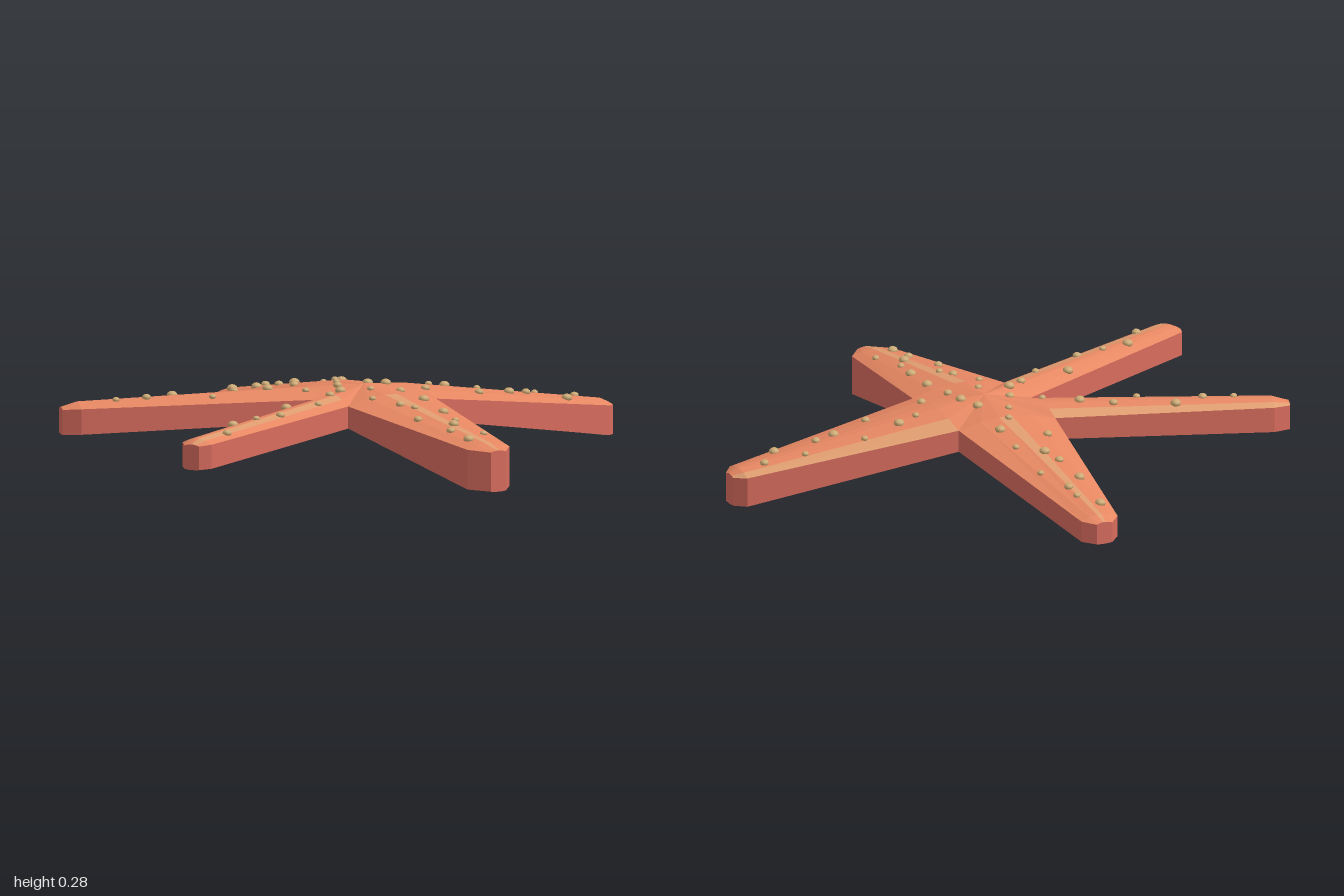
import * as THREE from 'three';

// Root corners between the arms, clockwise seen from above [x, z]
const corners = [[-0.16, -0.19], [0.2, -0.16], [0.2, 0.21], [-0.16, 0.22], [-0.16, 0.03]];

// Per arm: tip centre, shoulder half width, shoulder setback, wall bottom and top at the tip,
// bump count, and which top strip is tan
const arms = [
  { name: 'backArm', tip: [0.02, -0.957], half: 0.07, back: 0.04, low: 0.042, high: 0.12, bumps: 11, tan: 2 },
  { name: 'leftArm', tip: [1, 0.025], half: 0.07, back: 0.035, low: 0.027, high: 0.135, bumps: 10, tan: 0 },
  { name: 'frontArm', tip: [0.025, 0.953], half: 0.085, back: 0.07, low: 0.012, high: 0.155, bumps: 11, tan: 2 },
  { name: 'rightFrontArm', tip: [-0.985, 0.561], half: 0.06, back: 0.035, low: 0.112, high: 0.2, bumps: 7, tan: 1 },
  { name: 'rightBackArm', tip: [-0.99, -0.35], half: 0.062, back: 0.06, low: 0.122, high: 0.215, bumps: 7, tan: 4 },
];

// Cross-section: position across the arm and share of the crown height
const across = [0, 0.22, 0.45, 0.58, 0.78, 1];
const crown = [0, 0.65, 1, 1, 0.65, 0];
const last = across.length - 1;
const centreTop = [0.01, 0.275, 0.03];
const centreLow = [0.01, 0.15, 0.03];

function material(name, color) {
  const m = new THREE.MeshStandardMaterial({ color });
  m.name = name;
  return m;
}

const mix = (a, b, t) => [a[0] + (b[0] - a[0]) * t, a[1] + (b[1] - a[1]) * t];

// One row of points from edge to edge, bulged by the given height
function row([a, b], y, bulge) {
  return across.map((u, i) => {
    const [x, z] = mix(a, b, u);
    return [x, y + bulge * crown[i], z];
  });
}

// Unshared corners give each face its own flat normal
function facesMesh(name, points, mat) {
  const g = new THREE.BufferGeometry();
  g.setAttribute('position', new THREE.Float32BufferAttribute(points.flat(), 3));
  g.computeVertexNormals();
  const mesh = new THREE.Mesh(g, mat);
  mesh.name = name;
  return mesh;
}

const quad = (list, a, b, c, d) => list.push(a, b, c, a, c, d);

export function createModel() {
  const coral = material('coral skin', 0xe68762);
  const red = material('red side', 0xd86c5e);
  const sand = material('sandy underside', 0xd8c19f);
  const stripeTan = material('tan stripe', 0xdf9d70);
  const bumpTan = material('tan bump', 0xcdaa74);

  const model = new THREE.Group();
  model.name = 'starfish';
  const skins = [];
  const spots = [];

  arms.forEach((arm, k) => {
    const group = new THREE.Group();
    group.name = arm.name;

    // Edge pairs at the root, the shoulder and the narrow end
    const root = [corners[k], corners[(k + 1) % 5]];
    const mid = mix(root[0], root[1], 0.5);
    const length = Math.hypot(arm.tip[0] - mid[0], arm.tip[1] - mid[1]);
    const [dx, dz] = [(arm.tip[0] - mid[0]) / length, (arm.tip[1] - mid[1]) / length];
    const edges = (setback, half) => [1, -1].map((s) => [
      arm.tip[0] - dx * setback + s * dz * half, arm.tip[1] - dz * setback - s * dx * half]);
    const shoulder = edges(arm.back, arm.half);
    const end = edges(0, 0.03);

    const top = [row(root, 0.23, 0.03), row(shoulder, arm.high, 0.018), row(end, arm.high - 0.005, 0.006)];
    const low = [row(root, 0.152, 0), row(shoulder, arm.low + 0.003, -0.006), row(end, arm.low, -0.002)];
    const skin = [], stripe = [], under = [], side = [];

    for (let i = 0; i < last; i++) {
      // Centre wedge, then the strips running out to the tip
      const upper = i === arm.tan ? stripe : skin;
      skin.push(centreTop, top[0][i + 1], top[0][i]);
      under.push(centreLow, low[0][i], low[0][i + 1]);
      for (let s = 0; s < 2; s++) {
        quad(upper, top[s][i], top[s][i + 1], top[s + 1][i + 1], top[s + 1][i]);
        quad(under, low[s][i], low[s + 1][i], low[s + 1][i + 1], low[s][i + 1]);
      }
      // End wall
      quad(side, low[2][i], top[2][i], top[2][i + 1], low[2][i + 1]);
    }
    // Side walls
    for (let s = 0; s < 2; s++) {
      quad(side, low[s][0], top[s][0], top[s + 1][0], low[s + 1][0]);
      quad(side, low[s][last], low[s + 1][last], top[s + 1][last], top[s][last]);
    }

    const skinMesh = facesMesh('topSkin', skin, coral);
    const stripeMesh = facesMesh('stripe', stripe, stripeTan);
    skins.push(skinMesh, stripeMesh);
    group.add(skinMesh, stripeMesh, facesMesh('underside', under, sand), facesMesh('sideWall', side, red));
    model.add(group);

    // Bump spots wander from side to side along the arm
    for (let i = 0; i < arm.bumps; i++) {
      const t = (i + 0.2) / (arm.bumps + 0.4);
      const u = 0.5 + 0.27 * Math.sin(i * 2.4 + k);
      spots.push(mix(mix(root[0], shoulder[0], t), mix(root[1], shoulder[1], t), u));
    }
  });

  // Bump spots around the centre
  for (let i = 0; i < 7; i++) {
    const a = i * 0.9;
    const r = i % 2 ? 0.14 : 0.09;
    spots.push([0.01 + r * Math.cos(a), 0.03 + r * Math.sin(a)]);
  }

  // Bumps dropped onto the skin
  const bumps = new THREE.Group();
  bumps.name = 'bumps';
  const ray = new THREE.Raycaster();
  const down = new THREE.Vector3(0, -1, 0);
  const ball = new THREE.SphereGeometry(1, 10, 6);
  spots.forEach(([x, z], i) => {
    ray.set(new THREE.Vector3(x, 1, z), down);
    const hit = ray.intersectObjects(skins)[0];
    const r = 0.013 + 0.003 * (i * 2 % 3);
    const bump = new THREE.Mesh(ball, bumpTan);
    bump.name = 'bump';
    bump.scale.set(r, r * 0.75, r);
    bump.position.set(x, hit.point.y + 0.003, z);
    bumps.add(bump);
  });
  model.add(bumps);

  return model;
}
